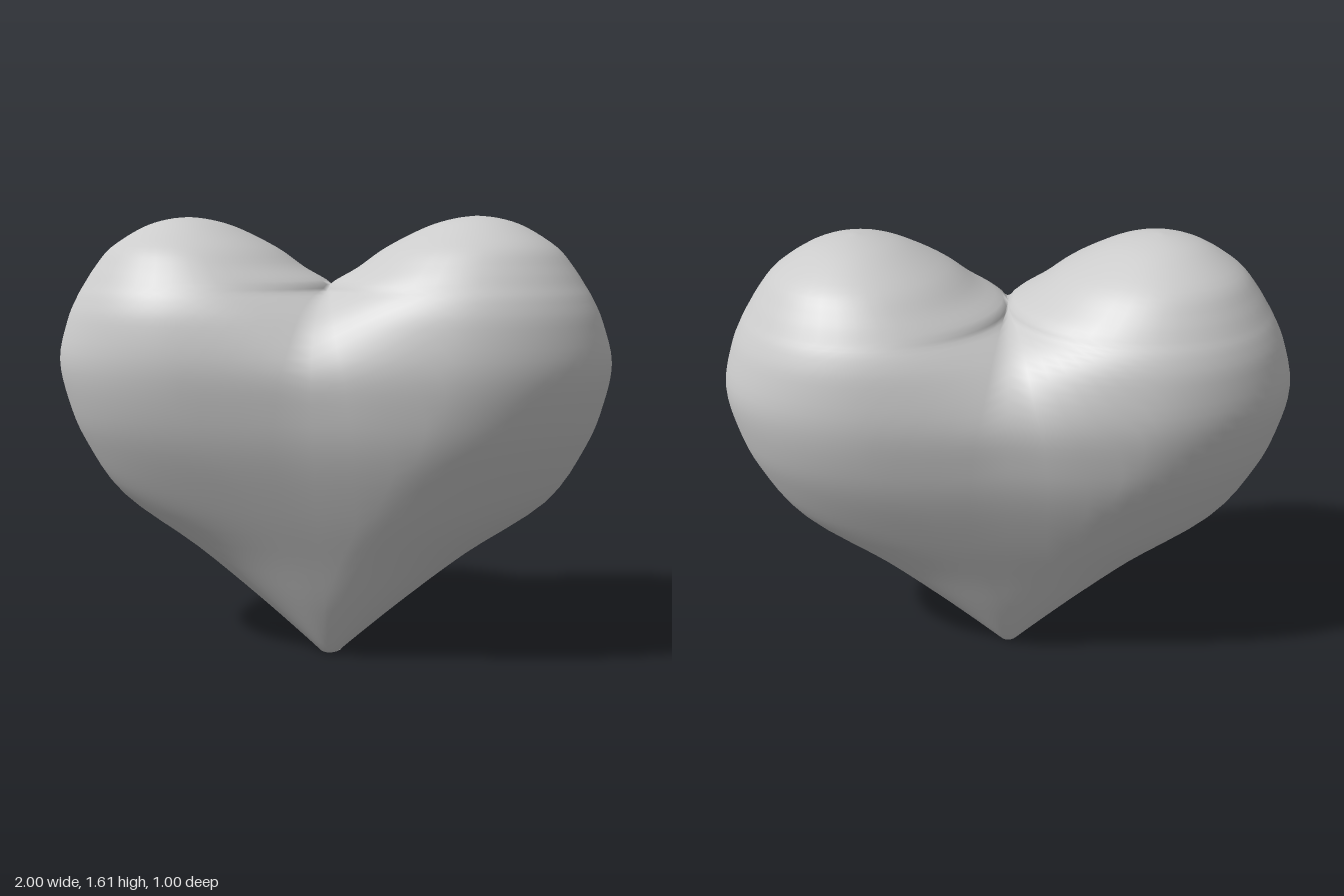
import * as THREE from 'three';
import { mergeVertices } from 'three/addons/utils/BufferGeometryUtils.js';

// Horizontal sections of one lobe, from the tip upwards:
// [height, outer x, half depth, x of greatest depth, inner x, depth at the middle / half depth]
const SECTIONS = [
  [0, 0, 0, 0, 0, 1],
  [0, 0.04, 0.04, 0, 0, 1],
  [0.02, 0.06, 0.08, 0, 0, 1],
  [0.2, 0.265, 0.18, 0, 0, 1],
  [0.4, 0.51, 0.27, 0.05, 0, 1],
  [0.6, 0.79, 0.36, 0.16, 0, 0.995],
  [0.8, 0.92, 0.44, 0.3, 0, 0.98],
  [0.95, 0.975, 0.48, 0.38, 0, 0.96],
  [1.1, 1, 0.5, 0.42, 0, 0.92],
  [1.24, 0.965, 0.485, 0.45, 0, 0.77],
  [1.32, 0.93, 0.46, 0.46, 0, 0.5],
  [1.37, 0.9, 0.43, 0.47, 0, 0],
  [1.43, 0.86, 0.39, 0.48, 0.1, 0],
  [1.5, 0.8, 0.325, 0.5, 0.2, 0],
  [1.57, 0.69, 0.2, 0.51, 0.34, 0],
  [1.6, 0.6, 0.1, 0.52, 0.44, 0],
  [1.61, 0.52, 0, 0.52, 0.52, 0],
];
const STEPS = 4; // rows between two sections
const HALF = 20; // columns from the middle to the outer edge

// Smooth curve through two columns of the section list
const curve = (a, b) => new THREE.SplineCurve(SECTIONS.map((s) => new THREE.Vector2(s[a], s[b])));

function heartGeometry() {
  const curves = [curve(0, 1), curve(2, 3), curve(4, 5)];
  const rows = (SECTIONS.length - 1) * STEPS;
  const columns = HALF * 2 + 1;
  const positions = [];
  const indices = [];

  for (const side of [1, -1]) {
    const base = positions.length / 3;
    for (let i = 0; i <= rows; i++) {
      const [p, q, r] = curves.map((c) => c.getPoint(i / rows));
      const y = Math.max(0, p.x), outer = p.y;
      const depth = Math.max(0, q.x), centre = Math.max(0, q.y);
      const inner = i <= 11 * STEPS ? 0 : Math.max(0, r.x);
      const ratio = i >= 11 * STEPS ? 0 : THREE.MathUtils.clamp(r.y, 0, 0.999);
      const start = Math.asin(ratio);

      // front arc from the middle to the outer edge, then the same arc back
      for (let j = 0; j < columns; j++) {
        const front = j <= HALF;
        const s = (front ? j : 2 * HALF - j) / HALF;
        const angle = start + (Math.PI - start) * s;
        const cos = Math.cos(angle);
        const x = cos > 0
          ? centre - (centre - inner) * cos / Math.cos(start)
          : centre - (outer - centre) * cos;
        const z = depth * Math.sin(angle) * (front ? 1 : -1);
        positions.push(side * x, y, z);
      }
    }
    for (let i = 0; i < rows; i++) {
      for (let j = 0; j < columns - 1; j++) {
        const a = base + i * columns + j, b = a + 1, c = b + columns, d = a + columns;
        if (side > 0) indices.push(a, b, c, a, c, d);
        else indices.push(a, c, b, a, d, c);
      }
    }
  }

  // weld the two lobes along the middle so the shading is continuous
  let geometry = new THREE.BufferGeometry();
  geometry.setAttribute('position', new THREE.Float32BufferAttribute(positions, 3));
  geometry.setIndex(indices);
  geometry = mergeVertices(geometry, 1e-4);
  geometry.computeVertexNormals();
  return geometry;
}

export function createModel() {
  const model = new THREE.Group();
  model.name = 'heart';
  const body = new THREE.Mesh(heartGeometry(), new THREE.MeshStandardMaterial({ color: 0xcccccc }));
  body.name = 'heartBody';
  model.add(body);
  return model;
}
